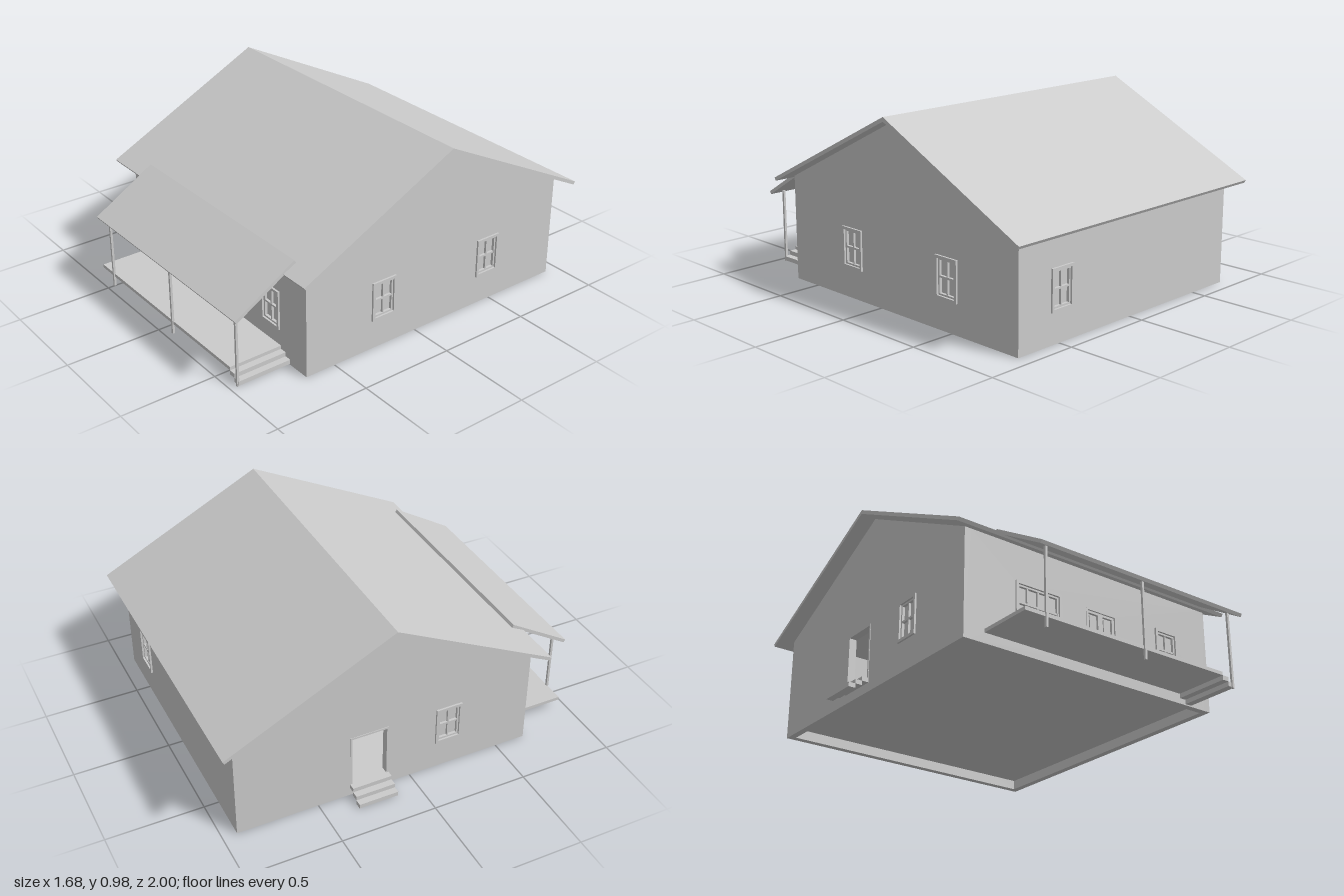
import * as THREE from 'three';

const material = new THREE.MeshStandardMaterial({ color: 0xcccccc, side: THREE.DoubleSide });
const WALL = 0.035, FLOOR = 0.07, EAVE = 0.549, PEAK = 0.95;
const HALF_X = 0.75, HALF_Z = 0.795, CX = 0.015, CZ = -0.13;

function add(parent, name, geometry) {
  const mesh = new THREE.Mesh(geometry, material);
  mesh.name = name;
  parent.add(mesh);
  return mesh;
}

// Box given by its limits on each axis
function box(parent, name, x0, x1, y0, y1, z0, z1) {
  const mesh = add(parent, name, new THREE.BoxGeometry(x1 - x0, y1 - y0, z1 - z0));
  mesh.position.set((x0 + x1) / 2, (y0 + y1) / 2, (z0 + z1) / 2);
  return mesh;
}

function outline(points, Type = THREE.Shape) {
  return new Type(points.map(([x, y]) => new THREE.Vector2(x, y)));
}

function rectangle(x0, x1, y0, y1, Type) {
  return outline([[x0, y0], [x1, y0], [x1, y1], [x0, y1]], Type);
}

function extrude(shape, depth) {
  return new THREE.ExtrudeGeometry(shape, { depth, bevelEnabled: false });
}

// Rectangular ring, grown outward from the opening by the border
function frame(parent, name, o, border, inset, z0, z1) {
  const shape = rectangle(o.u - o.w / 2 - border, o.u + o.w / 2 + border, o.y0 - border * (o.door ? 0 : 1), o.y1 + border);
  shape.holes.push(rectangle(o.u - o.w / 2 + inset, o.u + o.w / 2 - inset, o.y0 + inset, o.y1 - inset, THREE.Path));
  add(parent, name, extrude(shape, z1 - z0)).position.z = z0;
}

// Sash window with trim, glass and glazing bars
function addWindow(side, o) {
  const g = new THREE.Group();
  g.name = 'window';
  side.add(g);
  const l = o.u - o.w / 2, r = o.u + o.w / 2;
  frame(g, 'windowTrim', o, 0.014, 0, -0.005, 0.01);
  frame(g, 'sash', o, 0, 0.009, -0.02, 0);
  box(g, 'glass', l, r, o.y0, o.y1, -0.022, -0.014);
  for (let i = 1; i < o.cols; i++) {
    const u = l + (o.w * i) / o.cols;
    box(g, 'glazingBar', u - 0.004, u + 0.004, o.y0, o.y1, -0.015, -0.002);
  }
  const mid = (o.y0 + o.y1) / 2;
  box(g, 'meetingRail', l, r, mid - 0.005, mid + 0.005, -0.015, -0.001);
}

// Closed door with four raised-edge panels and a knob
function addDoor(side, o) {
  const g = new THREE.Group();
  g.name = 'frontDoor';
  side.add(g);
  const l = o.u - o.w / 2, r = o.u + o.w / 2;
  frame(g, 'doorFrame', o, 0, 0.008, -WALL, 0.003);
  const leaf = rectangle(l, r, o.y0, o.y1);
  const panels = [];
  for (const c of [o.u - 0.045, o.u + 0.042]) {
    for (const [y0, y1] of [[0.09, 0.172], [0.198, 0.33]]) panels.push([c - 0.029, c + 0.029, y0, y1]);
  }
  for (const p of panels) {
    leaf.holes.push(rectangle(...p, THREE.Path));
    const [a, b, c, d] = p;
    box(g, 'doorPanel', a + 0.01, b - 0.01, c + 0.01, d - 0.01, -0.022, -0.01);
  }
  add(g, 'doorLeaf', extrude(leaf, 0.015)).position.z = -0.02;
  box(g, 'doorBacking', l, r, o.y0, o.y1, -0.026, -0.018);
  add(g, 'knob', new THREE.SphereGeometry(0.007, 12, 8)).position.set(r - 0.02, 0.193, 0.004);
}

// One wall, drawn facing +z and then turned into place
function addSide(parent, name, angle, distance, points, openings) {
  const pivot = new THREE.Group();
  pivot.name = name;
  pivot.position.set(CX, 0, CZ);
  pivot.rotation.y = angle;
  parent.add(pivot);
  const side = new THREE.Group();
  side.name = name + 'Face';
  side.position.z = distance;
  pivot.add(side);
  const shape = outline(points);
  for (const o of openings) {
    shape.holes.push(rectangle(o.u - o.w / 2, o.u + o.w / 2, o.y0, o.y1, THREE.Path));
    if (o.door === 'closed') addDoor(side, o);
    else if (o.door) frame(side, 'doorFrame', o, 0.01, 0, -WALL - 0.002, 0.003);
    else addWindow(side, o);
  }
  add(side, name + 'Panel', extrude(shape, WALL)).position.z = -WALL;
}

// Profile given as [z, y] pairs, swept along x
function sweepX(parent, name, profile, x0, x1) {
  const geometry = extrude(outline(profile.map(([z, y]) => [-z, y])), x1 - x0);
  geometry.rotateY(Math.PI / 2);
  add(parent, name, geometry).position.x = x0;
}

// Three or fewer treads going down along x
function addSteps(parent, name, start, dir, count, top, z0, z1) {
  const g = new THREE.Group();
  g.name = name;
  parent.add(g);
  for (let i = 0; i < count; i++) {
    const a = start + dir * 0.0355 * i, b = a + dir * 0.0365;
    box(g, 'step', Math.min(a, b), Math.max(a, b), top - 0.023 * (i + 1), top - 0.023 * i, z0, z1);
  }
}

export function createModel() {
  const house = new THREE.Group();
  house.name = 'house';

  // Walls
  const win = (u, w = 0.115, cols = 2) => ({ u, w, cols, y0: 0.17, y1: 0.35 });
  const door = (u, w, kind) => ({ u, w, y0: FLOOR, y1: 0.35, door: kind });
  const hx = HALF_X - WALL;
  const long = [[-hx, 0], [hx, 0], [hx, EAVE], [-hx, EAVE]];
  const gable = [[-HALF_Z, 0], [HALF_Z, 0], [HALF_Z, EAVE], [0, PEAK], [-HALF_Z, EAVE]];
  addSide(house, 'frontWall', 0, HALF_Z, long, [win(-0.33, 0.24, 4), win(0.4725), door(0.0525, 0.185, 'closed')]);
  addSide(house, 'backWall', Math.PI, HALF_Z, long, [win(-0.47)]);
  addSide(house, 'leftWall', Math.PI / 2, HALF_X, gable, [win(-0.335), win(0.34)]);
  addSide(house, 'rightWall', -Math.PI / 2, HALF_X, gable, [win(0.34), door(-0.095, 0.185, 'open')]);

  // Floor, raised inside the wall ring
  box(house, 'floor', CX - hx, CX + hx, 0.05, FLOOR, CZ - HALF_Z + WALL, CZ + HALF_Z - WALL);

  // Main roof
  sweepX(house, 'mainRoof', [
    [-0.132, 0.975], [-1, 0.541], [-0.991, 0.526], [-0.132, 0.953], [0.722, 0.526], [0.732, 0.541],
  ], -0.815, 0.842);

  // Porch
  const porch = new THREE.Group();
  porch.name = 'porch';
  house.add(porch);
  sweepX(porch, 'porchRoof', [[0.67, 0.592], [0.66, 0.576], [0.991, 0.378], [1, 0.393]], -0.56, 0.685);
  box(porch, 'deck', -0.62, 0.565, 0.052, FLOOR, 0.665, 0.956);
  for (const x of [-0.505, 0.068, 0.626]) box(porch, 'post', x - 0.006, x + 0.006, 0, 0.395, 0.951, 0.963);
  addSteps(porch, 'porchSteps', 0.565, 1, 2, 0.052, 0.665, 0.956);

  // Steps to the side door
  addSteps(house, 'sideSteps', CX - HALF_X, -1, 3, FLOOR, -0.33, -0.12);

  return house;
}
